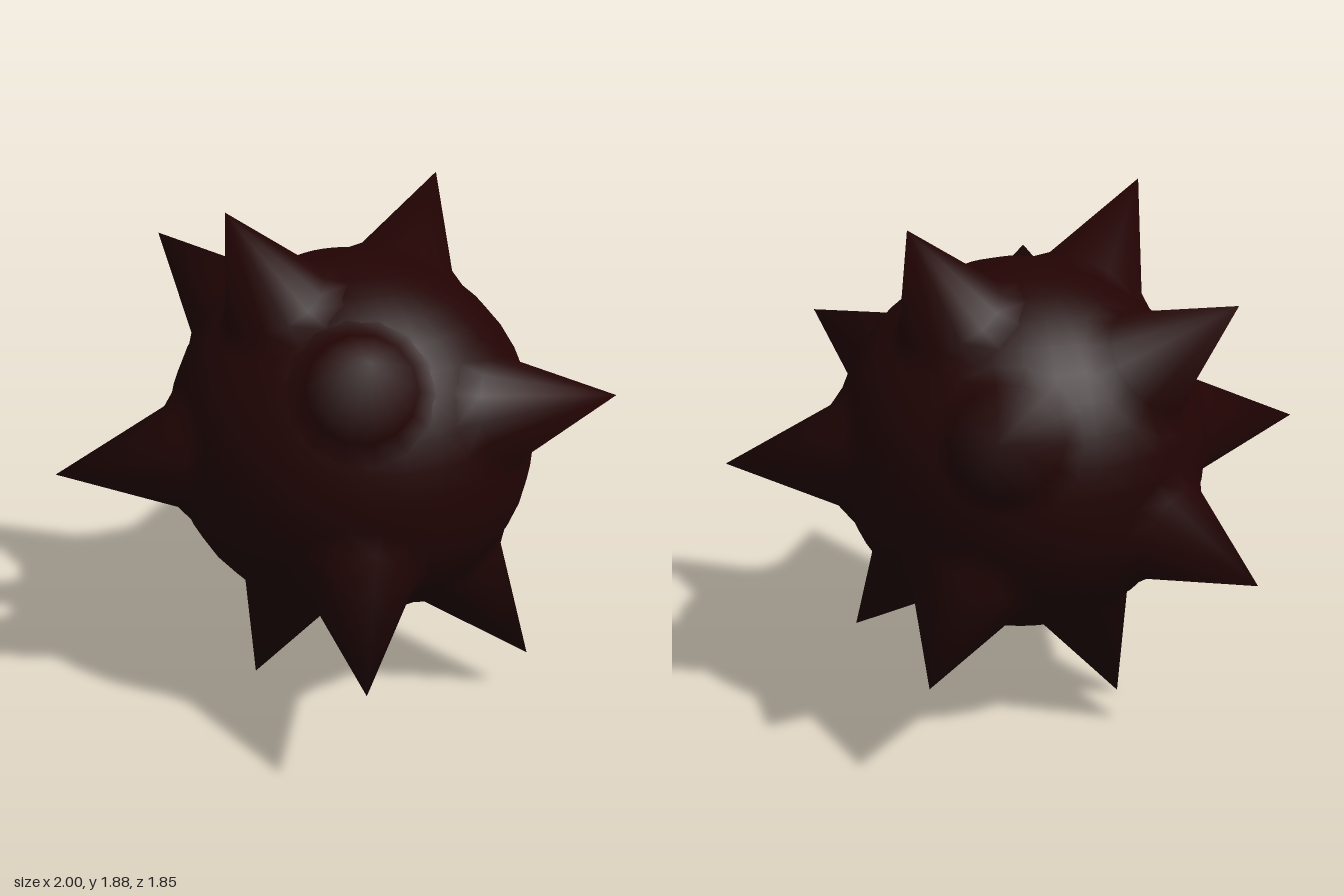
import * as THREE from 'three';

const CENTER = new THREE.Vector3(0.02, 0.99, -0.025);
const RADIUS = 0.657;

// Spike tips, x y z
const TIPS = [
  [-0.51, 1.875, 0.0], [0.565, 1.825, -0.2],
  [-0.25, 1.6, -0.835], [-0.46, 1.54, 0.655],
  [0.34, 1.33, 0.925], [0.605, 1.29, -0.77],
  [1.0, 1.0, 0.31], [-1.0, 0.99, -0.34],
  [-0.31, 0.67, -0.925], [-0.515, 0.45, 0.72],
  [0.685, 0.395, -0.48], [0.42, 0.17, 0.52],
  [-0.28, 0.0, -0.235],
];

// Straight cone on a short flared foot; its normals turn gradually from the ball's surface to the tip
function spikeGeometry(length) {
  const profile = [[0.25, 0.604], [0.18, 0.66], [0, length]];
  const geometry = new THREE.LatheGeometry(profile.map(([r, h]) => new THREE.Vector2(r, h)), 14);
  const { position, normal } = geometry.attributes;
  const outward = new THREE.Vector3();
  const slope = new THREE.Vector3();
  for (let i = 0; i < position.count; i++) {
    const ring = i % profile.length;
    outward.fromBufferAttribute(position, i).normalize();
    if (ring === 1) outward.lerp(slope.fromBufferAttribute(normal, i), 0.6).normalize();
    normal.setXYZ(i, outward.x, outward.y, outward.z);
  }
  return geometry;
}

export function createModel() {
  const group = new THREE.Group();
  group.name = 'spikedBall';
  const material = new THREE.MeshStandardMaterial({ color: 0x220303 });

  // Round body
  const body = new THREE.Mesh(new THREE.SphereGeometry(RADIUS, 32, 20), material);
  body.name = 'body';
  body.position.copy(CENTER);
  group.add(body);

  // Spikes pointing outward from the centre
  const up = new THREE.Vector3(0, 1, 0);
  TIPS.forEach((tip, i) => {
    const axis = new THREE.Vector3(...tip).sub(CENTER);
    const spike = new THREE.Mesh(spikeGeometry(axis.length()), material);
    spike.name = `spike${i + 1}`;
    spike.position.copy(CENTER);
    spike.quaternion.setFromUnitVectors(up, axis.normalize());
    group.add(spike);
  });

  return group;
}
